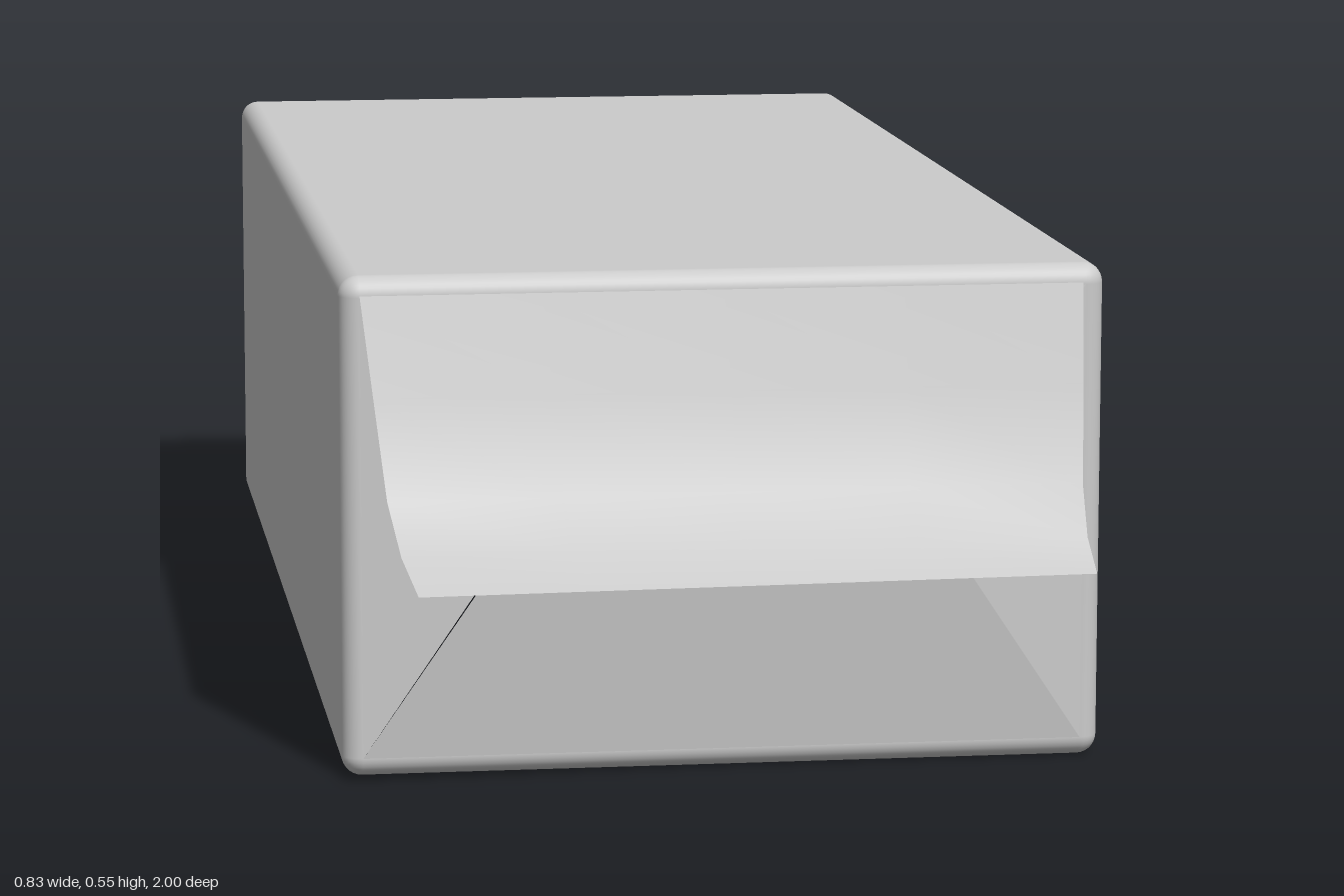
import * as THREE from 'three';
import { RoundedBoxGeometry } from 'three/addons/geometries/RoundedBoxGeometry.js';

const W = 0.83, H = 0.545, L = 1.715, R = 0.022, MID = -0.0525;
const X = W / 2 - R, Y0 = R, Y1 = H - R; // flat area of each end
const paper = new THREE.MeshStandardMaterial({ color: 0xcccccc, side: THREE.DoubleSide });

// Surface through rows of points (rows run downwards, points left to right)
function patch(name, rows) {
  const n = rows[0].length, index = [];
  for (let r = 0; r < rows.length - 1; r++) {
    for (let c = 0; c < n - 1; c++) {
      const a = r * n + c, b = a + n;
      index.push(a, b, b + 1, a, b + 1, a + 1);
    }
  }
  const geo = new THREE.BufferGeometry();
  geo.setAttribute('position', new THREE.Float32BufferAttribute(rows.flat(2), 3));
  geo.setIndex(index);
  geo.computeVertexNormals();
  const mesh = new THREE.Mesh(geo, paper);
  mesh.name = name;
  return mesh;
}

// Rounded sleeve: the flat bottom and the two flat ends are left open
function sleeve() {
  const box = new RoundedBoxGeometry(W, H, L, 4, R);
  const geo = box.index ? box.toNonIndexed() : box;
  const p = geo.attributes.position, q = geo.attributes.normal;
  const pos = [], nor = [];
  for (let i = 0; i < p.count; i += 3) {
    const ids = [i, i + 1, i + 2];
    const bottom = ids.every(k => p.getY(k) < -H / 2 + 1e-4);
    const end = ids.every(k => Math.abs(p.getZ(k)) > L / 2 - 1e-4);
    if (bottom || end) continue;
    for (const k of ids) {
      pos.push(p.getX(k), p.getY(k), p.getZ(k));
      nor.push(q.getX(k), q.getY(k), q.getZ(k));
    }
  }
  const out = new THREE.BufferGeometry();
  out.setAttribute('position', new THREE.Float32BufferAttribute(pos, 3));
  out.setAttribute('normal', new THREE.Float32BufferAttribute(nor, 3));
  const mesh = new THREE.Mesh(out, paper);
  mesh.name = 'wrapperSleeve';
  mesh.position.set(0, H / 2, MID);
  return mesh;
}

// Folded end facing +z: rim at depth z, flap rows are [xLeft, xRight, y, zLeft, zRight]
function foldedEnd(name, z, flapRows) {
  const end = new THREE.Group();
  end.name = name;
  const fx = 0.22, fy = 0.28, inner = z + 0.016, outer = z + 0.026;
  const TL = [-X, Y1, z], TR = [X, Y1, z], BL = [-X, Y0, z], BR = [X, Y0, z];
  const A = [-fx, fy, inner], B = [fx, fy, inner];

  // Panel behind the flap and the tucked side triangles
  end.add(patch('upperPanel', [[TL, TR], [A, B]]));
  end.add(patch('leftTuck', [[TL, A], [BL, BL]]));
  end.add(patch('rightTuck', [[B, TR], [BR, BR]]));

  // Lower flap folded up, standing slightly proud
  end.add(patch('lowerFlap', [[[-fx, fy, outer], [fx, fy, outer]], [BL, BR]]));

  // Loose upper flap curling outwards
  const rows = flapRows.map(([xl, xr, y, zl, zr]) => {
    const row = [];
    for (let i = 0; i <= 4; i++) {
      const t = i / 4;
      row.push([xl + (xr - xl) * t, y, zl + (zr - zl) * t]);
    }
    return row;
  });
  end.add(patch('upperFlap', rows));
  return end;
}

export function createModel() {
  const model = new THREE.Group();
  model.name = 'foldedPackage';
  model.add(sleeve());

  model.add(foldedEnd('frontEnd', MID + L / 2, [
    [-0.393, 0.39, 0.525, 0.805, 0.805],
    [-0.382, 0.386, 0.42, 0.837, 0.832],
    [-0.371, 0.38, 0.315, 0.872, 0.862],
    [-0.361, 0.376, 0.265, 0.925, 0.907],
    [-0.35, 0.373, 0.238, 1.0, 0.97],
  ]));

  const back = foldedEnd('backEnd', L / 2 - MID, [
    [-0.393, 0.393, 0.525, 0.91, 0.91],
    [-0.392, 0.388, 0.4, 0.926, 0.928],
    [-0.382, 0.378, 0.28, 0.941, 0.944],
    [-0.38, 0.372, 0.225, 0.952, 0.962],
    [-0.387, 0.37, 0.167, 0.976, 1.0],
  ]);
  back.rotation.y = Math.PI;
  model.add(back);
  return model;
}
